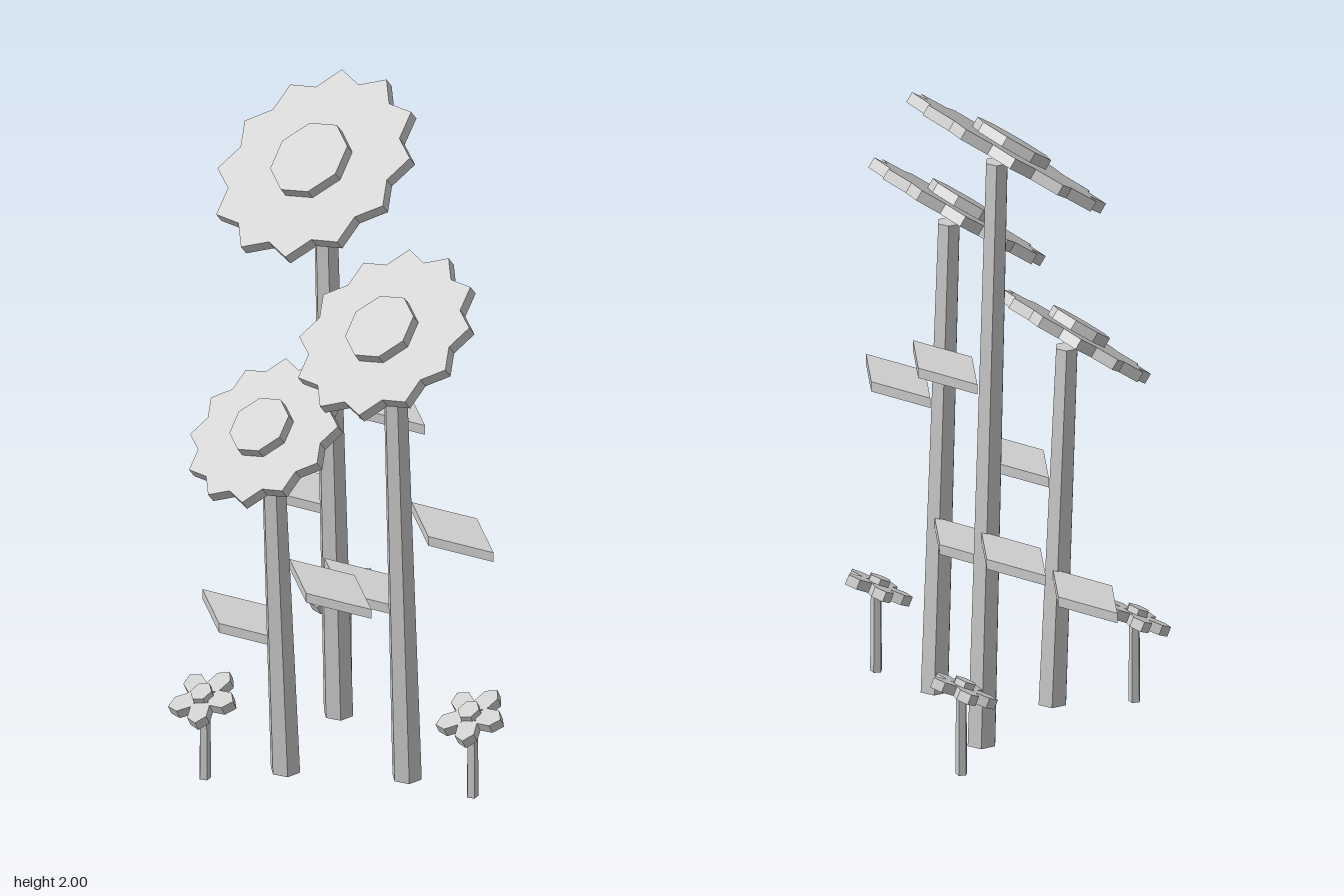
import * as THREE from 'three';

const TILT = THREE.MathUtils.degToRad(35);
const SMALL_TILT = THREE.MathUtils.degToRad(25);

export function createModel() {
  const root = new THREE.Group();
  root.name = 'flowerPatch';
  const grey = new THREE.MeshStandardMaterial({ color: 0xcccccc, flatShading: true });
  grey.name = 'plain grey';

  const add = (parent, name, geometry, x = 0, y = 0, z = 0) => {
    const mesh = new THREE.Mesh(geometry, grey);
    mesh.name = name;
    mesh.position.set(x, y, z);
    parent.add(mesh);
    return mesh;
  };

  // Flat horizontal plate of a given outline, centred on y = 0
  const plate = (points, thickness) => {
    const shape = new THREE.Shape(points.map(([x, y]) => new THREE.Vector2(x, y)));
    return new THREE.ExtrudeGeometry(shape, { depth: thickness, bevelEnabled: false })
      .translate(0, 0, -thickness / 2)
      .rotateX(-Math.PI / 2);
  };

  // Twelve-pointed ring of petals
  const petalRing = (radius) => {
    const points = [];
    for (let i = 0; i < 24; i++) {
      const a = (i / 24) * Math.PI * 2;
      const r = i % 2 ? radius * 0.855 : radius;
      points.push([Math.cos(a) * r, Math.sin(a) * r]);
    }
    return plate(points, 0.033);
  };

  // Stem leaning slightly forward, with level ends
  const leaningStem = (height, lean) => {
    const geometry = new THREE.CylinderGeometry(0.035, 0.045, height, 6).translate(0, height / 2, 0);
    const p = geometry.attributes.position;
    for (let i = 0; i < p.count; i++) p.setZ(i, p.getZ(i) + (lean * p.getY(i)) / height);
    geometry.computeVertexNormals();
    return geometry;
  };

  const leafGeometry = plate([[-0.19, 0], [0, -0.0875], [0.19, 0], [0, 0.0875]], 0.03);

  // Tall flowers; leaves are [side, height]
  const tall = [
    { x: -0.21, z: -0.19, lean: 0.05, stem: 1.78, head: [1.8, -0.11], r: 0.32, leafZ: -0.197, leaves: [[-1, 0.642], [1, 1.085]] },
    { x: 0.207, z: -0.113, lean: 0.047, stem: 1.43, head: [1.455, -0.04], r: 0.283, leafZ: -0.12, leaves: [[1, 0.878], [-1, 0.522]] },
    { x: -0.038, z: 0.135, lean: 0.047, stem: 1.085, head: [1.113, 0.203], r: 0.246, leafZ: 0.13, leaves: [[1, 0.672], [-1, 0.4]] },
  ];
  for (const f of tall) {
    const flower = new THREE.Group();
    flower.name = 'tallFlower';
    root.add(flower);
    add(flower, 'stem', leaningStem(f.stem, f.lean), f.x, 0, f.z);
    for (const [side, y] of f.leaves) add(flower, 'leaf', leafGeometry, f.x + side * 0.202, y, f.leafZ);

    const head = new THREE.Group();
    head.name = 'flowerHead';
    head.position.set(f.x, f.head[0], f.head[1]);
    head.rotation.x = TILT;
    flower.add(head);
    add(head, 'petalRing', petalRing(f.r));
    const discR = f.r * 0.385;
    add(head, 'seedDisc', new THREE.CylinderGeometry(discR, discR, 0.037, 8), 0, 0.029, 0);
  }

  // Small five-petalled flowers
  const petalGeometry = new THREE.CylinderGeometry(0.034, 0.034, 0.03, 6).scale(1, 1, 1.35).translate(0, 0, -0.06);
  for (const [x, z] of [[-0.383, -0.35], [-0.142, 0.345], [0.41, -0.19]]) {
    const flower = new THREE.Group();
    flower.name = 'smallFlower';
    flower.position.set(x, 0, z);
    root.add(flower);
    add(flower, 'smallStem', new THREE.CylinderGeometry(0.016, 0.018, 0.25, 5), 0, 0.125, 0);

    const head = new THREE.Group();
    head.name = 'smallHead';
    head.position.y = 0.255;
    head.rotation.x = SMALL_TILT;
    flower.add(head);
    for (let i = 0; i < 5; i++) add(head, 'petal', petalGeometry).rotation.y = (i * Math.PI * 2) / 5;
    add(head, 'smallCentre', new THREE.CylinderGeometry(0.034, 0.034, 0.03, 6), 0, 0.018, 0);
  }
  return root;
}
